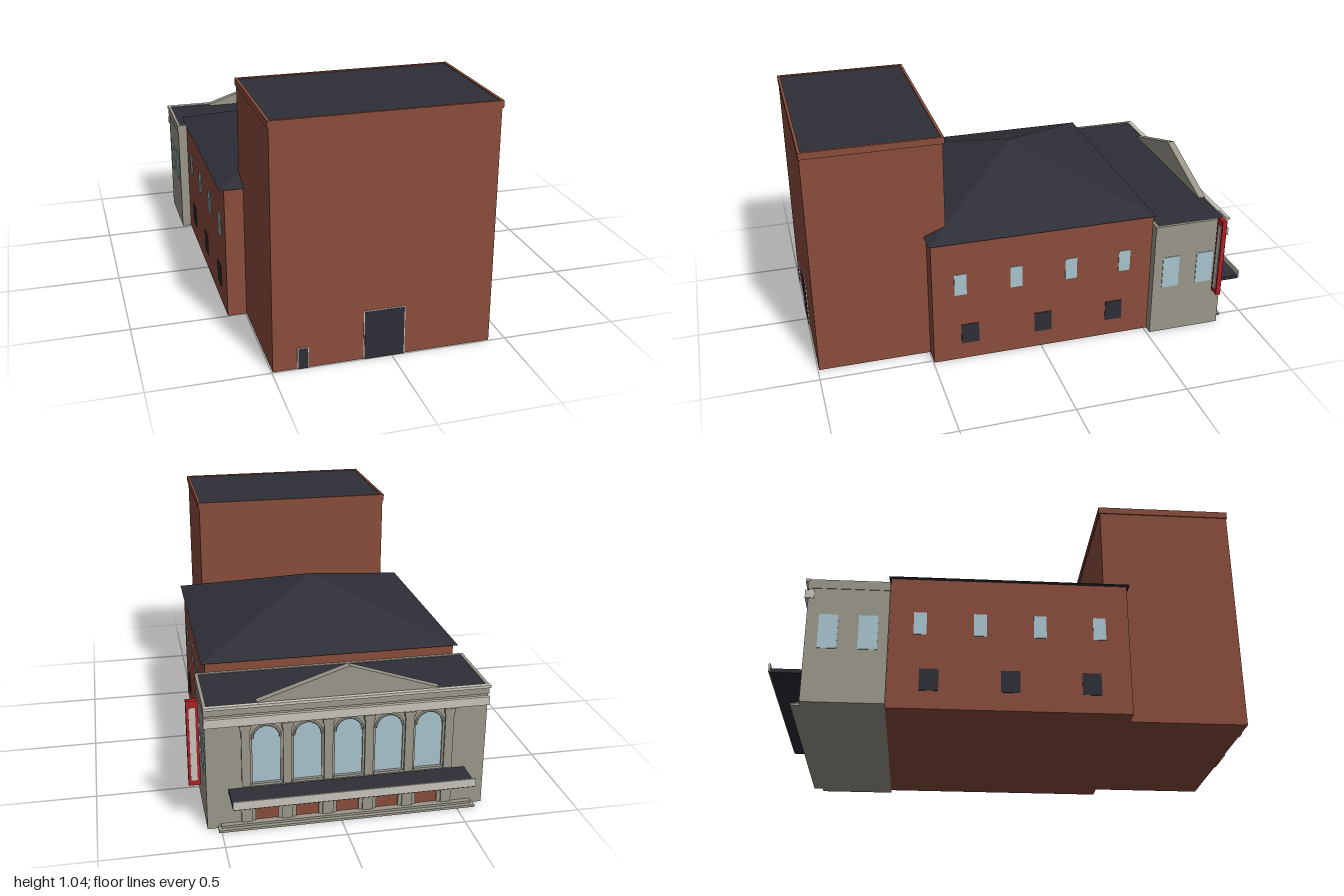
import * as THREE from 'three';

const mat = (name, color) => {
  const m = new THREE.MeshStandardMaterial({ color });
  m.name = name;
  return m;
};

export function createModel() {
  const brick = mat('brick', 0x8a4d3c);
  const stone = mat('stone', 0x9b978b);
  const trim = mat('pale trim', 0xc8c5bb);
  const slate = mat('slate', 0x2e2e37);
  const glass = mat('glass', 0xa8c4ce);
  const red = mat('sign red', 0xae2024);

  const model = new THREE.Group();
  model.name = 'theatre';
  const cx = -0.033; // centre line of the building

  const add = (name, geo, material) => {
    const m = new THREE.Mesh(geo, material);
    m.name = name;
    model.add(m);
    return m;
  };
  // box given by its limits on each axis
  const box = (name, material, x0, x1, y0, y1, z0, z1) => {
    const m = add(name, new THREE.BoxGeometry(x1 - x0, y1 - y0, z1 - z0), material);
    m.position.set((x0 + x1) / 2, (y0 + y1) / 2, (z0 + z1) / 2);
    return m;
  };
  // low rim of four bars around a rectangle
  const rim = (name, material, x0, x1, y0, y1, z0, z1, t) => {
    box(name, material, x0, x1, y0, y1, z0, z0 + t);
    box(name, material, x0, x1, y0, y1, z1 - t, z1);
    box(name, material, x0, x0 + t, y0, y1, z0 + t, z1 - t);
    box(name, material, x1 - t, x1, y0, y1, z0 + t, z1 - t);
  };

  // Stage tower
  box('stageTower', brick, -0.495, 0.428, 0, 1.02, 0.41, 0.995);
  rim('towerCoping', brick, -0.5, 0.434, 1.015, 1.045, 0.404, 0.998, 0.012);
  box('towerRoof', slate, -0.488, 0.422, 1.015, 1.041, 0.416, 0.986);

  // Loading doors with pale frames
  for (const [name, x0, x1, h] of [['loadingDoor', -0.12, 0.055, 0.216], ['stageDoor', -0.395, -0.347, 0.092]]) {
    box(name + 'Frame', trim, x0, x1, 0, h, 0.994, 0.998);
    box(name, slate, x0 + 0.004, x1 - 0.004, 0, h - 0.004, 0.995, 1);
  }

  // Auditorium with a pyramid roof
  box('auditorium', brick, -0.578, 0.514, 0, 0.592, -0.515, 0.496);
  const roofGeo = new THREE.ConeGeometry(Math.SQRT1_2, 1, 4).rotateY(Math.PI / 4).toNonIndexed();
  roofGeo.scale(1.128, 0.2, 1.03);
  roofGeo.computeVertexNormals();
  add('auditoriumRoof', roofGeo, slate).position.set(cx - 0.002, 0.692, -0.008);

  // Lobby block
  const L = -0.62, R = 0.555;
  box('lobby', stone, L, R, 0, 0.535, -0.842, -0.515);
  rim('lobbyParapet', stone, L - 0.003, R + 0.003, 0.51, 0.551, -0.858, -0.515, 0.014);
  box('lobbyRoof', slate, L + 0.011, R - 0.011, 0.53, 0.548, -0.844, -0.517);

  // Side windows, the same on both sides
  for (const s of [-1, 1]) {
    const hallX = s < 0 ? -0.578 : 0.514;
    const lobbyX = s < 0 ? L : R;
    const pane = (name, m, x, z, w, y0, y1) =>
      box(name, m, x - 0.003, x + 0.003, y0, y1, z - w / 2, z + w / 2);
    for (let i = 0; i < 4; i++) pane('hallWindow', glass, hallX, 0.37 - i * 0.252, 0.054, 0.332, 0.434);
    for (let i = 0; i < 3; i++) pane('lowerVent', slate, hallX, 0.33 - i * 0.337, 0.08, 0.08, 0.177);
    for (const z of [-0.598, -0.762]) pane('lobbyWindow', glass, lobbyX, z, 0.08, 0.236, 0.39);
  }

  // Facade wall with arched window and doorway openings
  const bays = [-2, -1, 0, 1, 2].map((i) => cx + i * 0.17);
  const wall = new THREE.Shape();
  wall.moveTo(L, 0);
  wall.lineTo(R, 0);
  wall.lineTo(R, 0.52);
  wall.lineTo(L, 0.52);
  wall.closePath();
  const r = 0.058, spring = 0.396;
  for (const x of bays) {
    const arch = new THREE.Path();
    arch.moveTo(x - r, 0.195);
    arch.lineTo(x + r, 0.195);
    arch.lineTo(x + r, spring);
    arch.absarc(x, spring, r, 0, Math.PI, false);
    arch.closePath();
    const door = new THREE.Path();
    door.moveTo(x - 0.047, 0.02);
    door.lineTo(x + 0.047, 0.02);
    door.lineTo(x + 0.047, 0.135);
    door.lineTo(x - 0.047, 0.135);
    door.closePath();
    wall.holes.push(arch, door);
  }
  const wallGeo = new THREE.ExtrudeGeometry(wall, { depth: 0.012, bevelEnabled: false, curveSegments: 10 });
  add('facadeWall', wallGeo, stone).position.z = -0.853;

  for (const x of bays) {
    box('archedWindow', glass, x - r, x + r, 0.19, 0.458, -0.846, -0.841);
    box('brickPanel', brick, x - 0.048, x + 0.048, 0.018, 0.137, -0.846, -0.841);
    const ring = add('archMoulding', new THREE.TorusGeometry(r, 0.005, 4, 12, Math.PI), stone);
    ring.position.set(x, spring, -0.853);
    box('windowSill', stone, x - 0.064, x + 0.064, 0.185, 0.196, -0.862, -0.85);
  }

  // Pilasters between the windows, capped piers between the doors
  for (let i = 0; i < 6; i++) {
    const x = cx + (i - 2.5) * 0.17;
    box('pilaster', stone, x - 0.018, x + 0.018, 0.185, 0.46, -0.862, -0.85);
    box('pilasterCapital', stone, x - 0.023, x + 0.023, 0.44, 0.46, -0.865, -0.85);
    box('doorPier', stone, x - 0.022, x + 0.022, 0.02, 0.15, -0.86, -0.85);
    box('pierCap', stone, x - 0.028, x + 0.028, 0.1, 0.125, -0.865, -0.85);
  }

  // Cornice, top moulding and pediment
  box('cornice', trim, L - 0.004, R + 0.004, 0.463, 0.5, -0.867, -0.83);
  box('topMoulding', trim, L - 0.006, R + 0.004, 0.54, 0.552, -0.868, -0.852);
  const gable = new THREE.Shape();
  gable.moveTo(cx - 0.375, 0);
  gable.lineTo(cx + 0.375, 0);
  gable.lineTo(cx + 0.375, 0.008);
  gable.lineTo(cx, 0.133);
  gable.lineTo(cx - 0.375, 0.008);
  gable.closePath();
  const gableGeo = new THREE.ExtrudeGeometry(gable, { depth: 0.026, bevelEnabled: false });
  add('pediment', gableGeo, stone).position.set(0, 0.545, -0.846);
  for (const s of [-1, 1]) {
    const rake = add('pedimentRake', new THREE.BoxGeometry(0.395, 0.01, 0.032), stone);
    rake.position.set(cx + s * 0.1875, 0.612, -0.834);
    rake.rotation.z = -s * Math.atan2(0.125, 0.375);
  }

  // Entrance canopy
  box('canopy', slate, -0.535, 0.465, 0.16, 0.177, -0.995, -0.85);
  box('canopyFascia', trim, -0.535, 0.465, 0.164, 0.2, -1, -0.993);

  // Entrance steps
  box('lowerStep', stone, -0.578, 0.512, 0, 0.01, -0.893, -0.85);
  box('upperStep', stone, -0.565, 0.499, 0, 0.02, -0.875, -0.85);

  // Vertical blade sign with pale panels on both faces
  box('signFrame', red, 0.573, 0.622, 0.193, 0.57, -0.823, -0.802);
  box('signPanel', trim, 0.585, 0.611, 0.217, 0.54, -0.826, -0.799);

  return model;
}
